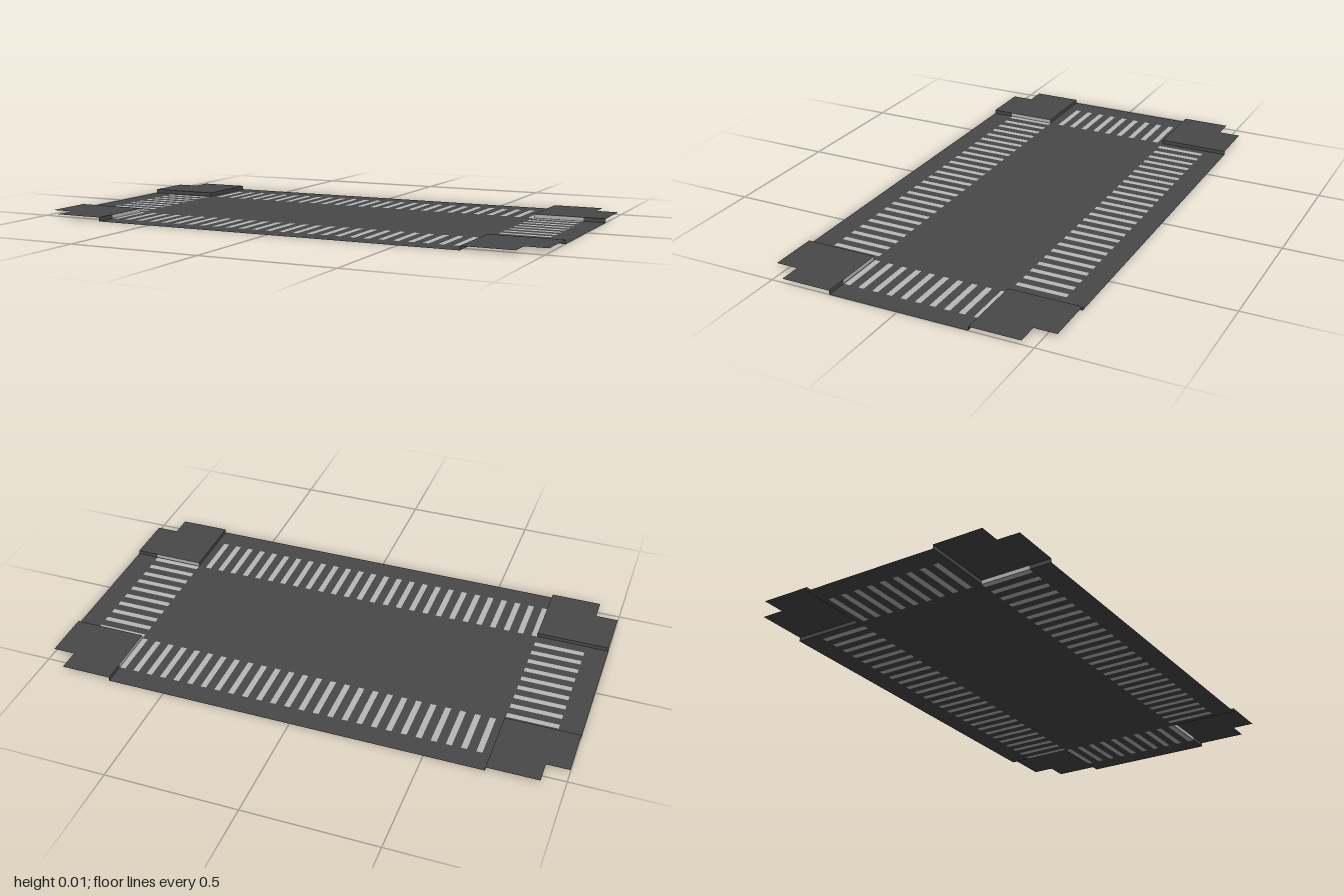
import * as THREE from 'three';
import { mergeGeometries } from 'three/addons/utils/BufferGeometryUtils.js';

const X = 1, Z = 0.54;          // outer half sizes
const XI = 0.722, ZI = 0.265;   // inner edges of the corner pavements
const XN = 0.915, ZN = 0.455;   // corner notches, also the outer ends of the stripes
const H = 0.015;                // kerb height
const PITCH = 0.0556, HALF = 0.011;

const asphalt = new THREE.MeshStandardMaterial({ color: 0x484849, side: THREE.DoubleSide });
const paint = new THREE.MeshStandardMaterial({ color: 0xb8b8b8, side: THREE.DoubleSide });

// flat outlines are given as [x, z] pairs
const points = (list) => list.map(([x, z]) => new THREE.Vector2(x, -z));
const rectangle = (x0, x1, z0, z1) => points([[x0, z0], [x1, z0], [x1, z1], [x0, z1]]);
const flat = (shape) => new THREE.ShapeGeometry(shape).rotateX(-Math.PI / 2);

// upright kerb face between two ground points
function wall(x0, z0, x1, z1) {
  const g = new THREE.PlaneGeometry(Math.hypot(x1 - x0, z1 - z0), H);
  g.rotateY(-Math.atan2(z1 - z0, x1 - x0));
  return g.translate((x0 + x1) / 2, H / 2, (z0 + z1) / 2);
}

export function createModel() {
  const group = new THREE.Group();
  const add = (name, geometry, material) => {
    const mesh = new THREE.Mesh(geometry, material);
    mesh.name = name;
    group.add(mesh);
  };

  // crossing stripes on all four roads
  const stripes = [];
  for (let i = 0; i < 26; i++) {
    const b = -0.68 + i * PITCH, f = -0.71 + i * PITCH;
    stripes.push(rectangle(b - HALF, b + HALF, -ZN, -ZI + 0.001));
    stripes.push(rectangle(f - HALF, f + HALF, ZI - 0.001, ZN));
  }
  for (let i = 0; i < 10; i++) {
    const r = -0.25 + i * PITCH, l = -0.23 + i * PITCH;
    stripes.push(rectangle(XI, XN, r - HALF, r + HALF));
    if (i < 9) stripes.push(rectangle(-XN, -XI, l - HALF, l + HALF));
  }
  add('crossingStripes', mergeGeometries(stripes.map((s) => flat(new THREE.Shape(s)))), paint);

  // cross-shaped road surface with the stripes cut out
  const road = new THREE.Shape(points([
    [-XI, -Z], [XI, -Z], [XI, -ZI], [X, -ZI], [X, ZI], [XI, ZI],
    [XI, Z], [-XI, Z], [-XI, ZI], [-X, ZI], [-X, -ZI], [-XI, -ZI],
  ]));
  road.holes = stripes.map((s) => new THREE.Path(s));
  add('road', flat(road), asphalt);

  // raised, notched pavements with kerbs along the road
  for (const sx of [-1, 1]) {
    for (const sz of [-1, 1]) {
      const side = (sz > 0 ? 'front' : 'back') + (sx > 0 ? 'Left' : 'Right');
      const outline = [[XI, ZI], [X, ZI], [X, ZN], [XN, ZN], [XN, Z], [XI, Z]];
      const top = new THREE.Shape(points(outline.map(([x, z]) => [sx * x, sz * z])));
      add(side + 'Pavement', flat(top).translate(0, H, 0), asphalt);

      // kerb pieces beside an end stripe carry its paint
      const x = sx * XI, z = sz * ZI;
      add(side + 'KerbAcross', wall(x, z, x, sz * ZN), sx * sz < 0 ? paint : asphalt);
      add(side + 'KerbAcrossEnd', wall(x, sz * ZN, x, sz * Z), asphalt);
      add(side + 'KerbAlong', wall(x, z, sx * XN, z), sx > 0 ? paint : asphalt);
      add(side + 'KerbAlongEnd', wall(sx * XN, z, sx * X, z), asphalt);
    }
  }
  return group;
}
